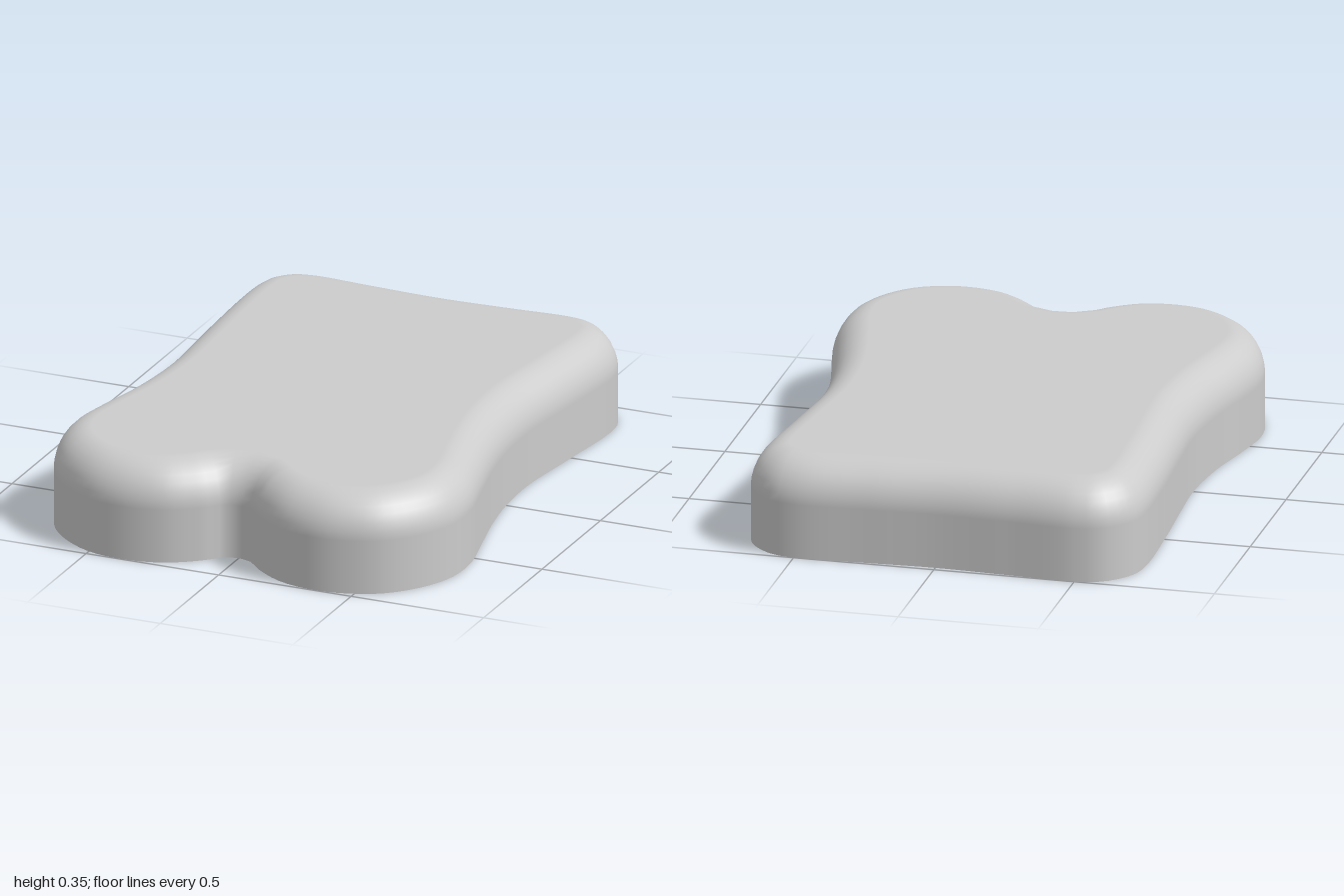
import * as THREE from 'three';

const HEIGHT = 0.355, BEVEL_IN = 0.13, BEVEL_UP = 0.16;
const SEGMENTS = 160, BEVEL_STEPS = 8;

// Plan outline as (x, z): back edge, left side, two front lobes with a notch, right side
const OUTLINE = [
  [-0.5, -1], [-0.25, -0.99], [0, -0.98], [0.25, -0.99], [0.5, -1], [0.6, -0.97], [0.68, -0.88], [0.697, -0.78],
  [0.67, -0.5], [0.638, -0.2], [0.645, 0], [0.67, 0.17], [0.71, 0.35], [0.752, 0.55], [0.745, 0.7],
  [0.685, 0.83], [0.59, 0.93], [0.48, 0.98], [0.36, 0.998], [0.22, 0.97], [0.11, 0.9], [0.045, 0.838],
  [0, 0.828], [-0.045, 0.838], [-0.11, 0.9], [-0.22, 0.97], [-0.36, 0.998], [-0.49, 0.98], [-0.6, 0.92],
  [-0.69, 0.83], [-0.742, 0.72], [-0.757, 0.6], [-0.735, 0.45], [-0.69, 0.23], [-0.67, 0], [-0.678, -0.2],
  [-0.695, -0.5], [-0.7, -0.78], [-0.68, -0.88], [-0.6, -0.97],
];

export function createModel() {
  const group = new THREE.Group();
  group.name = 'breadSlice';
  const grey = new THREE.MeshStandardMaterial({ color: 0xcccccc });
  grey.name = 'light grey';

  const curve = new THREE.CatmullRomCurve3(OUTLINE.map(([x, z]) => new THREE.Vector3(x, 0, z)), true);
  curve.arcLengthDivisions = 1000;
  const samples = [];
  for (let i = 0; i < SEGMENTS; i++) {
    const p = curve.getPointAt(i / SEGMENTS), t = curve.getTangentAt(i / SEGMENTS);
    samples.push({ x: p.x, z: p.z, nx: t.z, nz: -t.x });
  }
  const inset = (d) => samples.map((s) => [s.x - s.nx * d, s.z - s.nz * d]);

  // Vertical wall followed by a quarter-round shoulder
  const rings = [{ d: 0, y: 0, a: 0 }];
  for (let k = 0; k <= BEVEL_STEPS; k++) {
    const a = (k / BEVEL_STEPS) * Math.PI / 2;
    rings.push({ d: BEVEL_IN * (1 - Math.cos(a)), y: HEIGHT - BEVEL_UP * (1 - Math.sin(a)), a });
  }
  const positions = [], normals = [], index = [];
  rings.forEach(({ d, y, a }, r) => {
    inset(d).forEach(([x, z], i) => {
      const s = samples[i], c = Math.cos(a);
      positions.push(x, y, z);
      normals.push(s.nx * c, Math.sin(a), s.nz * c);
      if (r === rings.length - 1) return;
      const next = (i + 1) % SEGMENTS, lo = r * SEGMENTS, hi = lo + SEGMENTS;
      index.push(lo + i, hi + i, lo + next, lo + next, hi + i, hi + next);
    });
  });
  const side = new THREE.BufferGeometry();
  side.setAttribute('position', new THREE.Float32BufferAttribute(positions, 3));
  side.setAttribute('normal', new THREE.Float32BufferAttribute(normals, 3));
  side.setIndex(index);

  // Flat caps: dir +1 faces up, -1 faces down
  const cap = (d, y, dir) => {
    const shape = new THREE.Shape(inset(d).map(([x, z]) => new THREE.Vector2(x, -dir * z)));
    return new THREE.ShapeGeometry(shape).rotateX(-dir * Math.PI / 2).translate(0, y, 0);
  };

  const add = (name, geometry) => {
    const mesh = new THREE.Mesh(geometry, grey);
    mesh.name = name;
    group.add(mesh);
  };
  add('roundedCrust', side);
  add('topFace', cap(BEVEL_IN, HEIGHT, 1));
  add('bottomFace', cap(0, 0, -1));
  return group;
}
